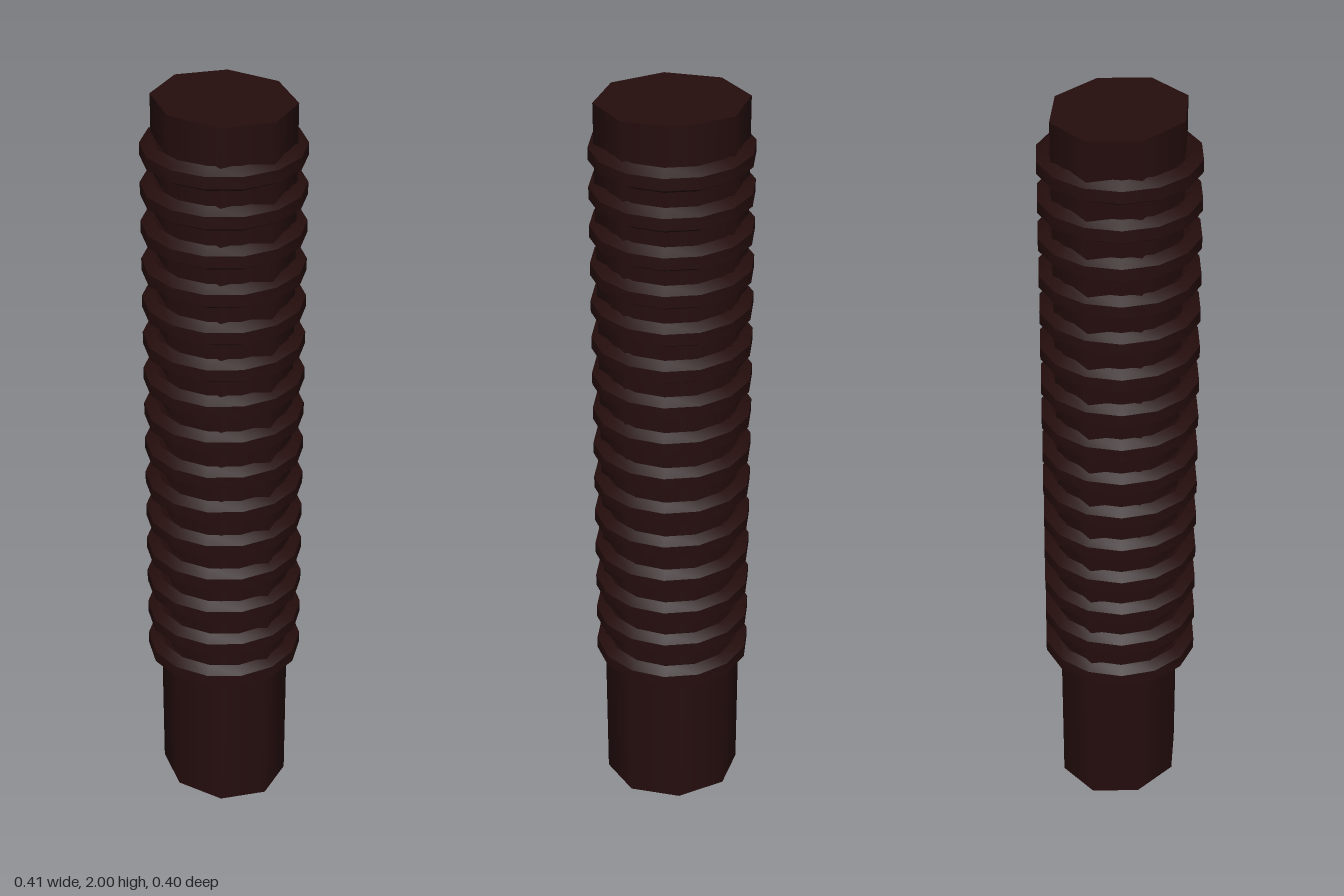
import * as THREE from 'three';
import { toCreasedNormals } from 'three/addons/utils/BufferGeometryUtils.js';

export function createModel() {
  const group = new THREE.Group();
  group.name = 'ribbedGrip';
  const darkLeather = new THREE.MeshStandardMaterial({ color: 0x250d0d });
  darkLeather.name = 'darkLeather';

  // Slightly tapered eight-sided core, flattened front to back
  const coreGeometry = new THREE.CylinderGeometry(0.191, 0.18, 2, 8);
  coreGeometry.scale(1, 1, 0.888);
  coreGeometry.translate(0, 1, 0);
  const core = new THREE.Mesh(coreGeometry, darkLeather);
  core.name = 'core';
  group.add(core);

  // Wrap ring: six-sided section with a flat outer face, swept in 14 segments
  const ringRadius = 0.177;
  const tube = 0.032;
  const section = [];
  for (let i = 0; i <= 6; i++) {
    const a = -Math.PI / 6 + (i * Math.PI) / 3;
    section.push(new THREE.Vector2(ringRadius + tube * Math.cos(a), tube * Math.sin(a)));
  }
  const ringGeometry = toCreasedNormals(
    new THREE.LatheGeometry(section, 14, Math.PI / 2),
    Math.PI / 4
  );

  // Evenly spaced rings up the grip
  const count = 15;
  for (let i = 0; i < count; i++) {
    const ring = new THREE.Mesh(ringGeometry, darkLeather);
    ring.name = `wrapRing${i + 1}`;
    ring.position.y = 0.427 + (i * (1.87 - 0.427)) / (count - 1);
    group.add(ring);
  }
  return group;
}
